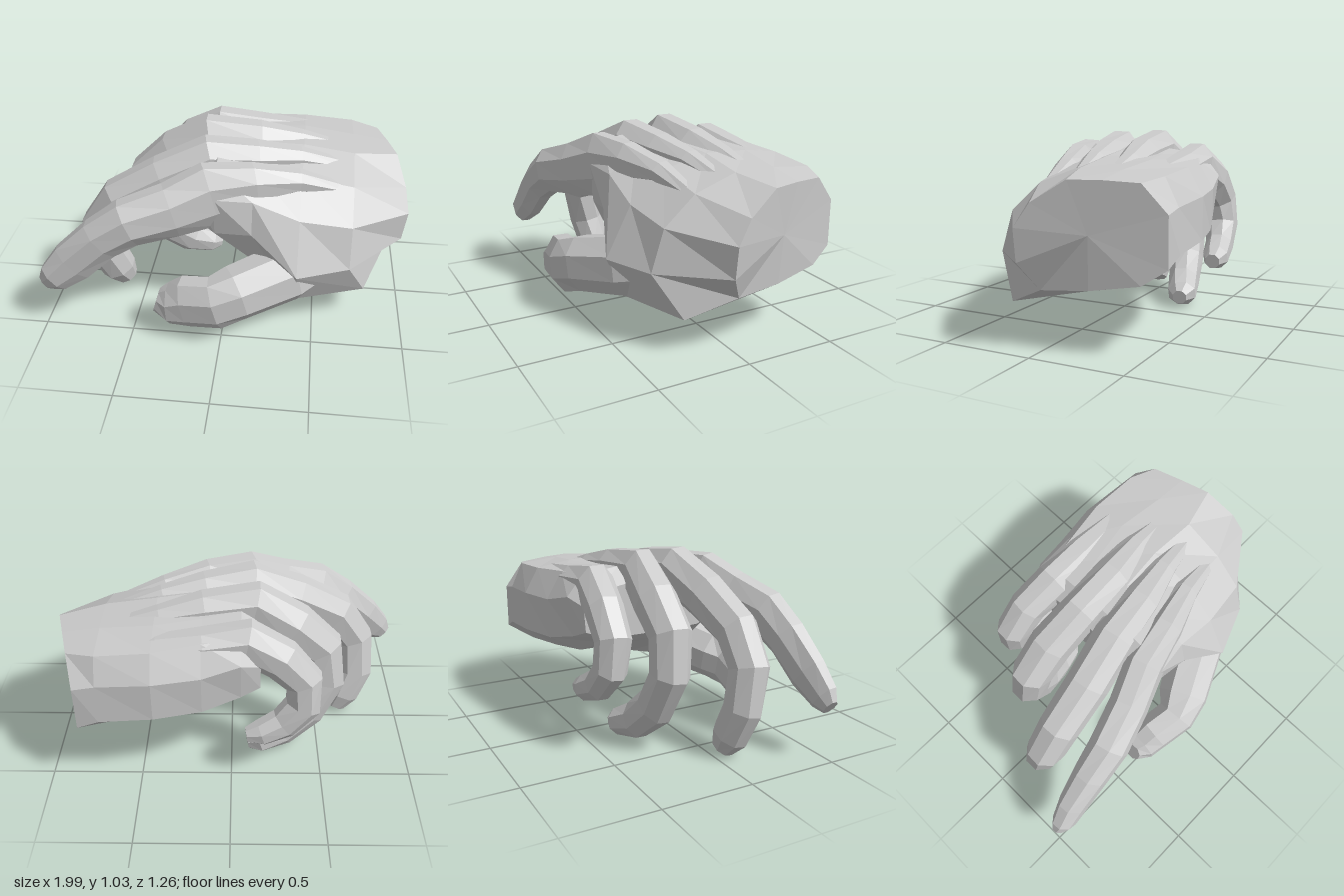
import * as THREE from 'three';

const material = new THREE.MeshStandardMaterial({ color: 0xcccccc, flatShading: true });

// Skin a list of rings (counter-clockwise about the direction of travel), closing both ends
function loft(rings, name) {
  const n = rings[0].length, position = [], index = [];
  for (const ring of rings) for (const p of ring) position.push(p.x, p.y, p.z);
  for (let i = 0; i < rings.length - 1; i++) {
    for (let j = 0; j < n; j++) {
      const a = i * n + j, b = i * n + (j + 1) % n;
      index.push(a, b, b + n, a, b + n, a + n);
    }
  }
  [0, rings.length - 1].forEach((r, end) => {
    const c = new THREE.Vector3();
    rings[r].forEach((p) => c.addScaledVector(p, 1 / n));
    const centre = position.length / 3;
    position.push(c.x, c.y, c.z);
    for (let j = 0; j < n; j++) {
      const a = r * n + j, b = r * n + (j + 1) % n;
      if (end) index.push(centre, a, b);
      else index.push(centre, b, a);
    }
  });
  const geometry = new THREE.BufferGeometry();
  geometry.setAttribute('position', new THREE.Float32BufferAttribute(position, 3));
  geometry.setIndex(index);
  geometry.computeVertexNormals();
  const mesh = new THREE.Mesh(geometry, material);
  mesh.name = name;
  return mesh;
}

// Digit along stations [x, y, z, half width, half thickness]
function digit(name, stations, sides = 8) {
  const points = stations.map(([x, y, z]) => new THREE.Vector3(x, y, z));
  const rings = stations.map(([, , , w, h], i) => {
    const t = points[Math.min(i + 1, points.length - 1)].clone()
      .sub(points[Math.max(i - 1, 0)]).normalize();
    const side = new THREE.Vector3(0, 0, 1).addScaledVector(t, -t.z).normalize();
    const up = t.clone().cross(side);
    return Array.from({ length: sides }, (_, j) => {
      const a = (j + 0.5) / sides * Math.PI * 2;
      return points[i].clone()
        .addScaledVector(side, Math.cos(a) * w * 1.06)
        .addScaledVector(up, Math.sin(a) * h * 1.06);
    });
  });
  return loft(rings, name);
}

// Palm sections from knuckles to wrist: x, slant with z, then corners [z, y, x offset]
const palmSections = [
  [-0.15, 0, [[-.42, .83], [-.15, .88], [.08, .88], [.28, .86], [.34, .8], [.32, .66],
    [.2, .58], [0, .57], [-.35, .57], [-.49, .62], [-.5, .76]]],
  [-0.05, 0, [[-.46, .91], [-.25, .94], [.08, .97], [.28, .95], [.37, .82], [.35, .6],
    [.22, .52], [0, .51], [-.35, .52], [-.52, .58], [-.55, .8]]],
  [0.15, 0, [[-.5, .9], [-.3, .92], [-.07, .94], [.18, .91], [.34, .8], [.38, .62],
    [.32, .42], [.05, .43], [-.4, .43], [-.58, .53], [-.59, .75]]],
  [0.4, 0, [[-.55, .88], [-.35, .91], [-.1, .92], [.15, .86], [.34, .7], [.48, .43],
    [.38, .21], [.05, .29], [-.45, .4], [-.63, .52], [-.63, .74]]],
  [0.68, 0, [[-.55, .86], [-.33, .88], [-.1, .88], [.13, .8], [.3, .65], [.37, .43],
    [.24, .2, .1], [-.1, .28, .08], [-.5, .38], [-.63, .5], [-.62, .72]]],
  [0.97, 0.28, [[-.5, .84], [-.33, .85], [-.17, .85], [0, .74], [.08, .62], [.08, .45, -.02],
    [0, .31, -.08], [-.25, .33, -.03], [-.5, .37], [-.62, .45], [-.62, .7]]],
];

// Fingers start as tendon ridges that rise out of the back of the hand
const digits = {
  indexFinger: [[.62, .77, .11, .04, .04], [.38, .84, .15, .07, .06], [.15, .84, .22, .09, .12],
    [-.08, .8, .28, .1, .18], [-.28, .74, .36, .1, .15], [-.5, .69, .43, .1, .13],
    [-.65, .59, .45, .09, .12], [-.81, .44, .47, .075, .12], [-.92, .34, .49, .06, .09],
    [-.97, .3, .49, .035, .05]],
  middleFinger: [[.62, .82, -.06, .04, .04], [.38, .88, -.02, .07, .06], [.15, .89, .03, .1, .1],
    [-.1, .9, .08, .11, .13], [-.35, .79, .13, .11, .13], [-.6, .66, .16, .105, .12],
    [-.72, .49, .16, .1, .11], [-.73, .28, .12, .095, .11], [-.67, .12, .09, .09, .1],
    [-.63, .04, .07, .055, .065]],
  ringFinger: [[.62, .83, -.24, .04, .04], [.38, .88, -.22, .07, .06], [.15, .9, -.18, .1, .1],
    [-.12, .91, -.15, .1, .13], [-.33, .79, -.17, .11, .13], [-.49, .65, -.17, .105, .12],
    [-.52, .45, -.19, .1, .11], [-.42, .25, -.22, .095, .11], [-.28, .13, -.26, .085, .1],
    [-.15, .085, -.3, .08, .075], [-.09, .075, -.31, .04, .04]],
  littleFinger: [[.62, .81, -.44, .04, .04], [.38, .84, -.43, .07, .06], [.15, .84, -.42, .1, .09],
    [-.08, .85, -.4, .1, .12], [-.26, .76, -.43, .095, .11], [-.38, .63, -.44, .09, .1],
    [-.38, .48, -.46, .085, .095], [-.28, .37, -.48, .075, .085], [-.16, .32, -.5, .07, .07],
    [-.08, .31, -.51, .04, .04]],
  thumb: [[.62, .42, .16, .1, .12], [.35, .36, .33, .15, .16], [.08, .3, .47, .14, .15],
    [-.03, .26, .52, .11, .15], [-.19, .23, .49, .105, .15], [-.29, .2, .48, .095, .12],
    [-.36, .22, .48, .05, .07]],
};

export function createModel() {
  const hand = new THREE.Group();
  hand.name = 'hand';
  const rings = palmSections.map(([x, slant, corners]) =>
    corners.map(([z, y, dx = 0]) => new THREE.Vector3(x + slant * z + dx, y, z)));
  hand.add(loft(rings, 'palm'));
  for (const [name, stations] of Object.entries(digits)) hand.add(digit(name, stations));
  return hand;
}
